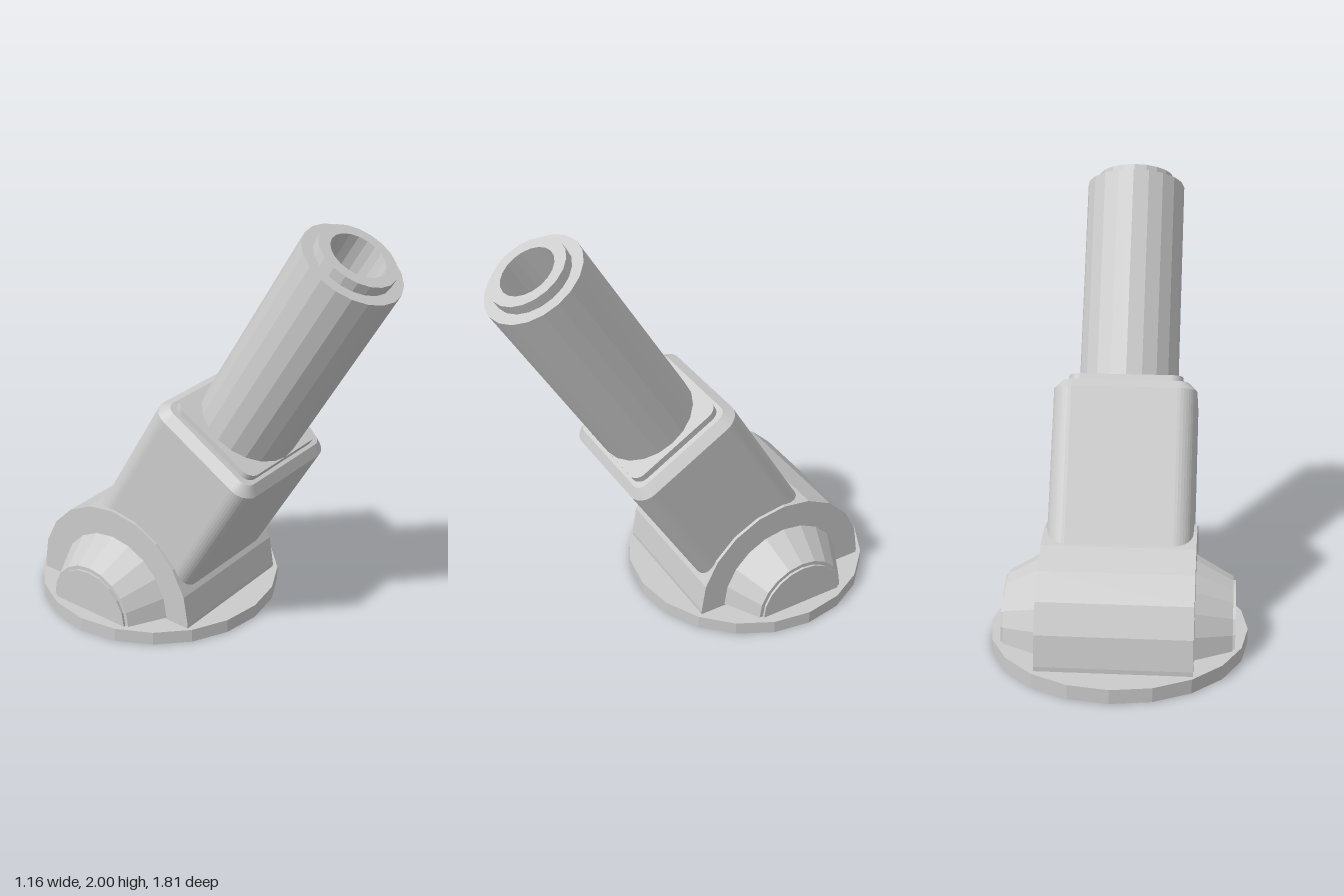
import * as THREE from 'three';

const SIDES = 20;
const AXIS_Z = -0.325; // z of the base and hinge axis

export function createModel() {
  const model = new THREE.Group();
  const mat = new THREE.MeshStandardMaterial({
    color: 0xcccccc, flatShading: true, side: THREE.DoubleSide,
  });

  const add = (parent, name, geometry, x = 0, y = 0, z = 0) => {
    const mesh = new THREE.Mesh(geometry, mat);
    mesh.name = name;
    mesh.position.set(x, y, z);
    parent.add(mesh);
    return mesh;
  };

  // Upper half of a cylinder or cone lying along x, outer end at +x
  const halfDrum = (rInner, rOuter, length) =>
    new THREE.CylinderGeometry(rOuter, rInner, length, SIDES / 2, 1, false, Math.PI, Math.PI)
      .rotateZ(-Math.PI / 2);

  // Rounded rectangular block standing on y = 0, with chamfered ends
  const roundedBlock = (w, d, h, r, chamfer) => {
    const x = w / 2, y = d / 2;
    const s = new THREE.Shape();
    s.absarc(x - r, y - r, r, 0, Math.PI / 2);
    s.absarc(-x + r, y - r, r, Math.PI / 2, Math.PI);
    s.absarc(-x + r, -y + r, r, Math.PI, Math.PI * 1.5);
    s.absarc(x - r, -y + r, r, Math.PI * 1.5, Math.PI * 2);
    return new THREE.ExtrudeGeometry(s, {
      depth: h - 2 * chamfer, curveSegments: 5, bevelEnabled: chamfer > 0,
      bevelSize: chamfer, bevelOffset: -chamfer, bevelThickness: chamfer, bevelSegments: 1,
    }).translate(0, 0, chamfer).rotateX(-Math.PI / 2);
  };

  // Base plate, hollow underneath
  add(model, 'baseRim', new THREE.CylinderGeometry(0.578, 0.578, 0.065, SIDES, 1, true), 0, 0.0325, AXIS_Z);
  add(model, 'baseTop', new THREE.CircleGeometry(0.578, SIDES).rotateX(-Math.PI / 2), 0, 0.065, AXIS_Z);

  // Hinge housing
  const hinge = new THREE.Group();
  hinge.name = 'hinge';
  hinge.position.set(-0.006, 0, AXIS_Z);
  model.add(hinge);
  add(hinge, 'housing', halfDrum(0.445, 0.445, 0.676), 0, 0.085);
  add(hinge, 'housingFoot', new THREE.BoxGeometry(0.676, 0.02, 0.89), 0, 0.075);

  // Conical side caps, and the thin rails below the housing
  for (const side of [1, -1]) {
    const cap = new THREE.Group();
    cap.name = side > 0 ? 'leftCap' : 'rightCap';
    cap.rotation.y = side > 0 ? 0 : Math.PI;
    hinge.add(cap);
    add(cap, 'capCone', halfDrum(0.32, 0.228, 0.165), 0.42, 0.073);
    add(cap, 'capDisc', halfDrum(0.21, 0.21, 0.012), 0.508, 0.073);
    add(cap, 'foootRail'.replace('ooo', 'oo'), new THREE.BoxGeometry(0.012, 0.025, 0.88), 0.332, 0.0535);
  }

  // Tilted arm; its origin is the shoulder at the end of the tube
  const arm = new THREE.Group();
  arm.name = 'arm';
  arm.position.set(-0.006, 1.868, 0.708);
  arm.rotation.x = THREE.MathUtils.degToRad(30.5);
  model.add(arm);
  add(arm, 'armBlock', roundedBlock(0.645, 0.59, 0.9, 0.085, 0.04), 0, -1.91, -0.008);
  add(arm, 'armCollar', roundedBlock(0.515, 0.475, 0.06, 0.05, 0), 0, -1.04, -0.008);

  // Hollow tube with a narrower lip at its end
  const profile = [
    [0.23, -1.05], [0.23, 0], [0.178, 0], [0.178, 0.046],
    [0.125, 0.046], [0.125, -0.8], [0, -0.8],
  ].map(([r, y]) => new THREE.Vector2(r, y));
  add(arm, 'tube', new THREE.LatheGeometry(profile, SIDES));

  return model;
}
